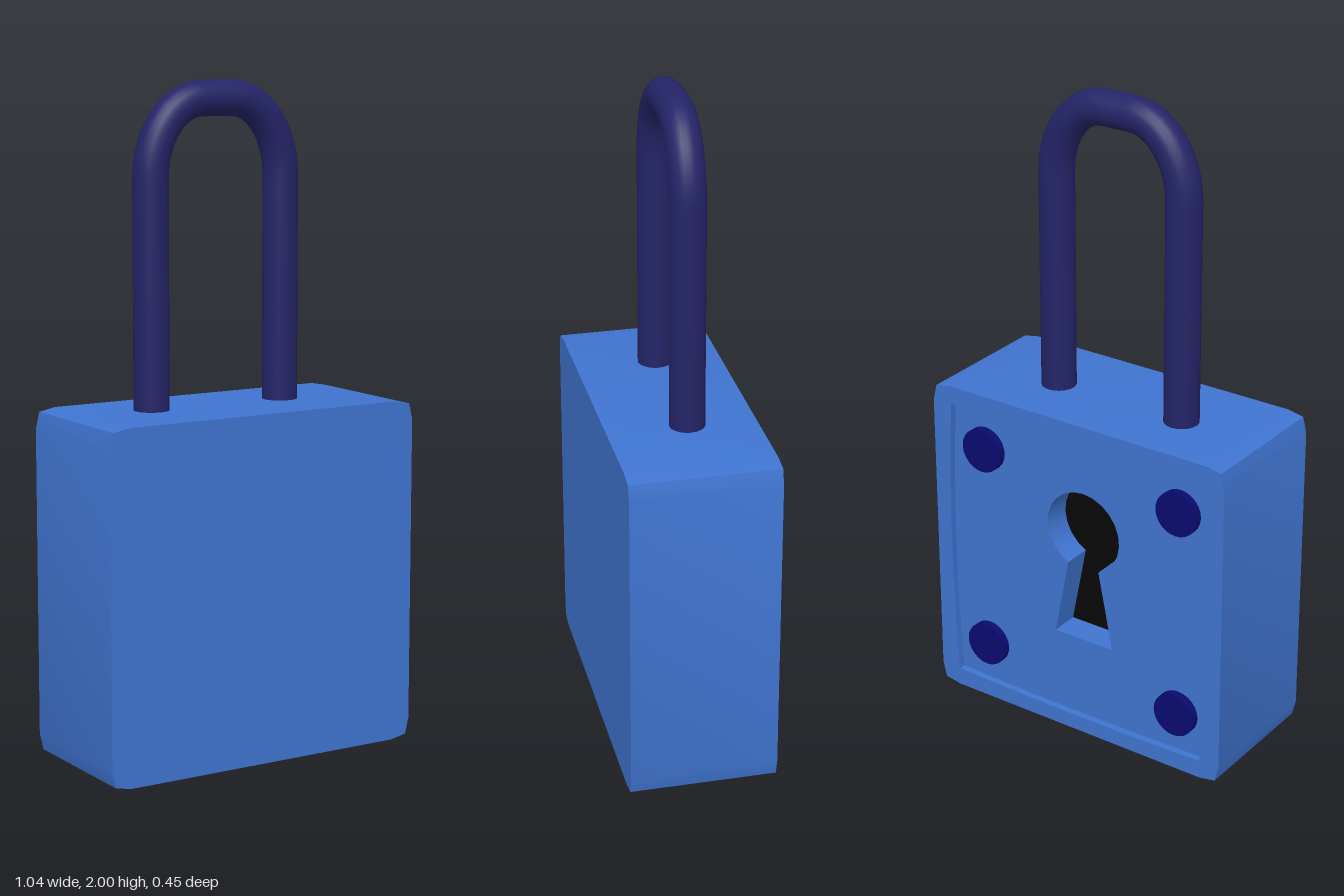
import * as THREE from 'three';
import { mergeGeometries, toCreasedNormals } from 'three/addons/utils/BufferGeometryUtils.js';

const FRONT = 0.222, BACK = -0.222, PANEL = -0.2, FLOOR = -0.11;
const HEIGHT = 1.046;

// Side wall swept along z; faces outward for a counter-clockwise outline, inward for a hole.
function wall(shape, z0, z1, hole = false) {
  const pts = shape.getPoints(10);
  if (pts[0].distanceTo(pts[pts.length - 1]) < 1e-6) pts.pop();
  if (hole) pts.reverse();
  const pos = [];
  pts.forEach((a, i) => {
    const b = pts[(i + 1) % pts.length];
    pos.push(a.x, a.y, z0, b.x, b.y, z0, b.x, b.y, z1);
    pos.push(a.x, a.y, z0, b.x, b.y, z1, a.x, a.y, z1);
  });
  const g = new THREE.BufferGeometry();
  g.setAttribute('position', new THREE.Float32BufferAttribute(pos, 3));
  return g;
}

// Flat face at depth z, optionally with a hole, turned to the front or the back.
function cap(outline, z, toBack, hole) {
  const shape = outline.clone();
  if (hole) shape.holes.push(hole);
  const g = new THREE.ShapeGeometry(shape, 10);
  if (toBack) g.index.array.reverse();
  const flat = g.toNonIndexed().translate(0, 0, z);
  flat.deleteAttribute('uv');
  flat.deleteAttribute('normal');
  return flat;
}

// Square block outline with small softened corners
function bodyOutline() {
  const corner = [[0.52, 0.06], [0.508, 0.01], [0.455, 0]];
  const right = [...corner].reverse();
  const pts = [
    ...right.map(([x, y]) => [x, y]),
    ...corner.map(([x, y]) => [x, HEIGHT - y]),
    ...right.map(([x, y]) => [-x, HEIGHT - y]),
    ...corner.map(([x, y]) => [-x, y]),
  ];
  return new THREE.Shape(pts.map(([x, y]) => new THREE.Vector2(x, y)));
}

// Recess outline with gently bowed sides
function panelOutline() {
  const w = 0.453, h = 0.465, c = 0.523, bow = 0.03;
  const s = new THREE.Shape();
  s.moveTo(-w, c - h);
  s.quadraticCurveTo(0, c - h - bow / 2, w, c - h);
  s.quadraticCurveTo(w + bow, c, w, c + h);
  s.quadraticCurveTo(0, c + h + bow / 2, -w, c + h);
  s.quadraticCurveTo(-w - bow, c, -w, c - h);
  return s;
}

// Round keyhole with a flared slot
function keyholeOutline() {
  const x = -0.016, y = 0.685, r = 0.13, gap = 0.437;
  const s = new THREE.Shape();
  s.moveTo(x - 0.105, 0.315);
  s.lineTo(x + 0.105, 0.315);
  s.absarc(x, y, r, -Math.PI / 2 + gap, 1.5 * Math.PI - gap, false);
  s.closePath();
  return s;
}

// U-shaped bar: two straight legs joined by rounded shoulders and a flat top
function shackleGeometry() {
  const L = -0.243, R = 0.2, zL = -0.0225, zR = -0.018;
  const base = 0.98, bend = 1.72, top = 1.947, half = 0.05, mid = (L + R) / 2;
  const v = (x, y) => new THREE.Vector3(x, y, THREE.MathUtils.mapLinear(x, L, R, zL, zR));
  const k = 0.55;
  const path = new THREE.CurvePath();
  const shoulder = (a, b, c) => new THREE.CubicBezierCurve3(
    a, a.clone().lerp(b, k), c.clone().lerp(b, k), c);
  path.add(new THREE.LineCurve3(v(L, base), v(L, bend)));
  path.add(shoulder(v(L, bend), v(L, top), v(mid - half, top)));
  path.add(new THREE.LineCurve3(v(mid - half, top), v(mid + half, top)));
  path.add(shoulder(v(mid + half, top), v(R, top), v(R, bend)));
  path.add(new THREE.LineCurve3(v(R, bend), v(R, base)));
  return new THREE.TubeGeometry(path, 80, 0.053, 20);
}

export function createModel() {
  const model = new THREE.Group();
  model.name = 'padlock';
  const add = (name, geometry, color) => {
    const mesh = new THREE.Mesh(geometry, new THREE.MeshStandardMaterial({ color }));
    mesh.name = name;
    model.add(mesh);
    return mesh;
  };

  // Body with the recessed back panel and the keyhole cut into it
  const body = bodyOutline(), panel = panelOutline(), keyhole = keyholeOutline();
  const shell = mergeGeometries([
    wall(body, BACK, FRONT),
    cap(body, FRONT, false),
    cap(body, BACK, true, panel),
    wall(panel, BACK, PANEL, true),
    cap(panel, PANEL, true, keyhole),
    wall(keyhole, PANEL, FLOOR, true),
  ]);
  add('body', toCreasedNormals(shell, 0.4), 0x3f74d0);

  // Dark bottom of the keyhole
  const floor = cap(keyhole, FLOOR, true);
  floor.computeVertexNormals();
  add('keyholeFloor', floor, 0x080808);

  // Shackle
  add('shackle', shackleGeometry(), 0x242468);

  // Four rivets on the back panel
  const rivet = new THREE.CylinderGeometry(0.07, 0.07, 0.03, 24).rotateX(Math.PI / 2);
  for (const x of [-0.36, 0.341]) {
    for (const y of [0.187, 0.863]) {
      add('rivet', rivet, 0x0a0a70).position.set(x, y, -0.21);
    }
  }
  return model;
}
